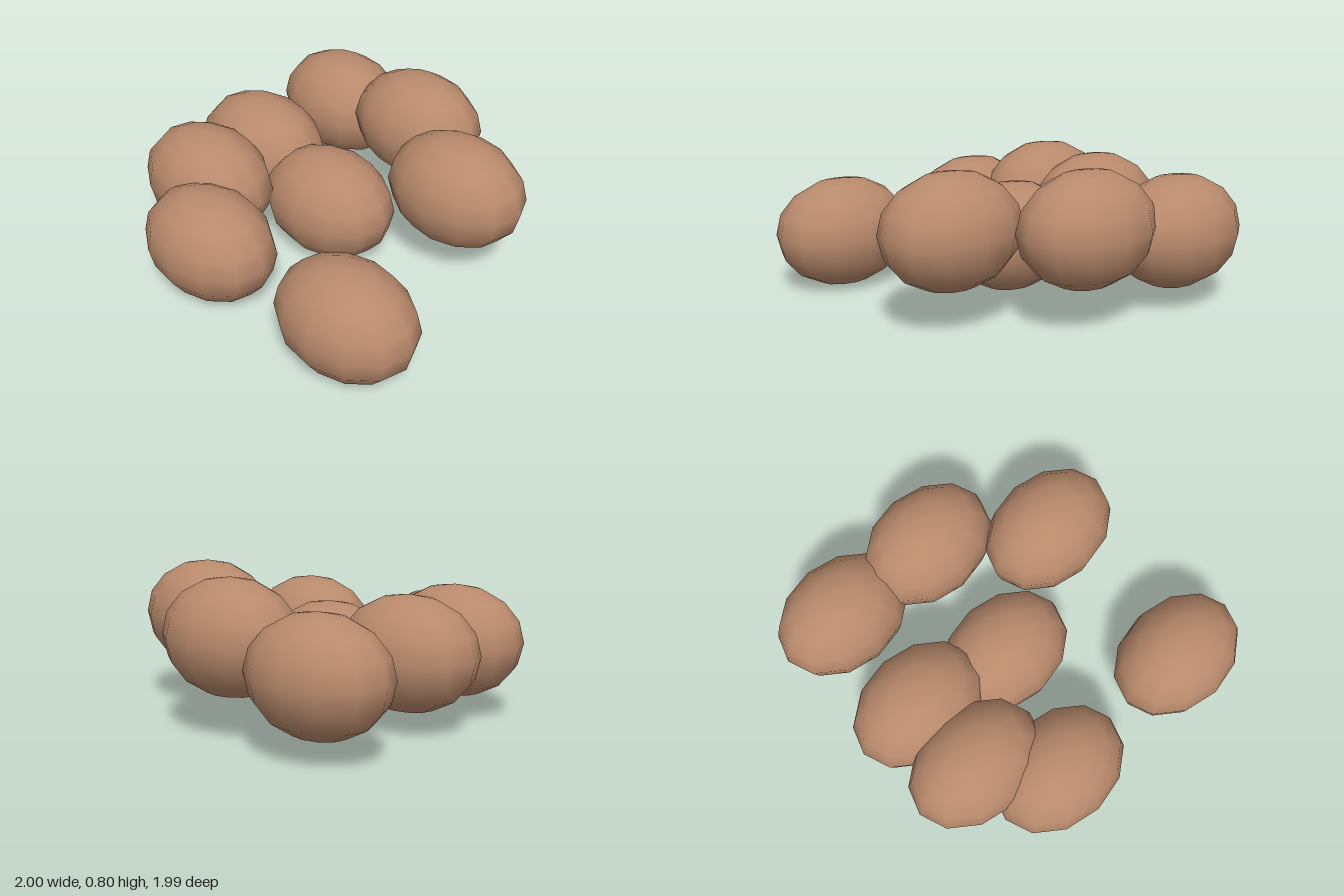
import * as THREE from 'three';

// Centre of each egg: x, y, z
const CENTRES = [
  [-0.57, 0.4, -0.705],
  [0.02, 0.5, -0.66],
  [0.56, 0.5, -0.27],
  [-0.61, 0.4, -0.04],
  [-0.06, 0.3, 0.03],
  [-0.61, 0.4, 0.395],
  [-0.3, 0.3, 0.7],
  [0.61, 0.3, 0.69],
];

export function createModel() {
  const model = new THREE.Group();
  model.name = 'eggPile';

  const shell = new THREE.MeshStandardMaterial({ color: 0xb98a6c });
  shell.name = 'brownShell';

  // One smooth, low-poly egg, longer along x, shared by the whole pile
  const eggGeometry = new THREE.SphereGeometry(1, 12, 8).scale(0.39, 0.3, 0.294);

  CENTRES.forEach((centre, i) => {
    const egg = new THREE.Mesh(eggGeometry, shell);
    egg.name = `egg${i + 1}`;
    egg.position.set(...centre);
    model.add(egg);
  });

  return model;
}
